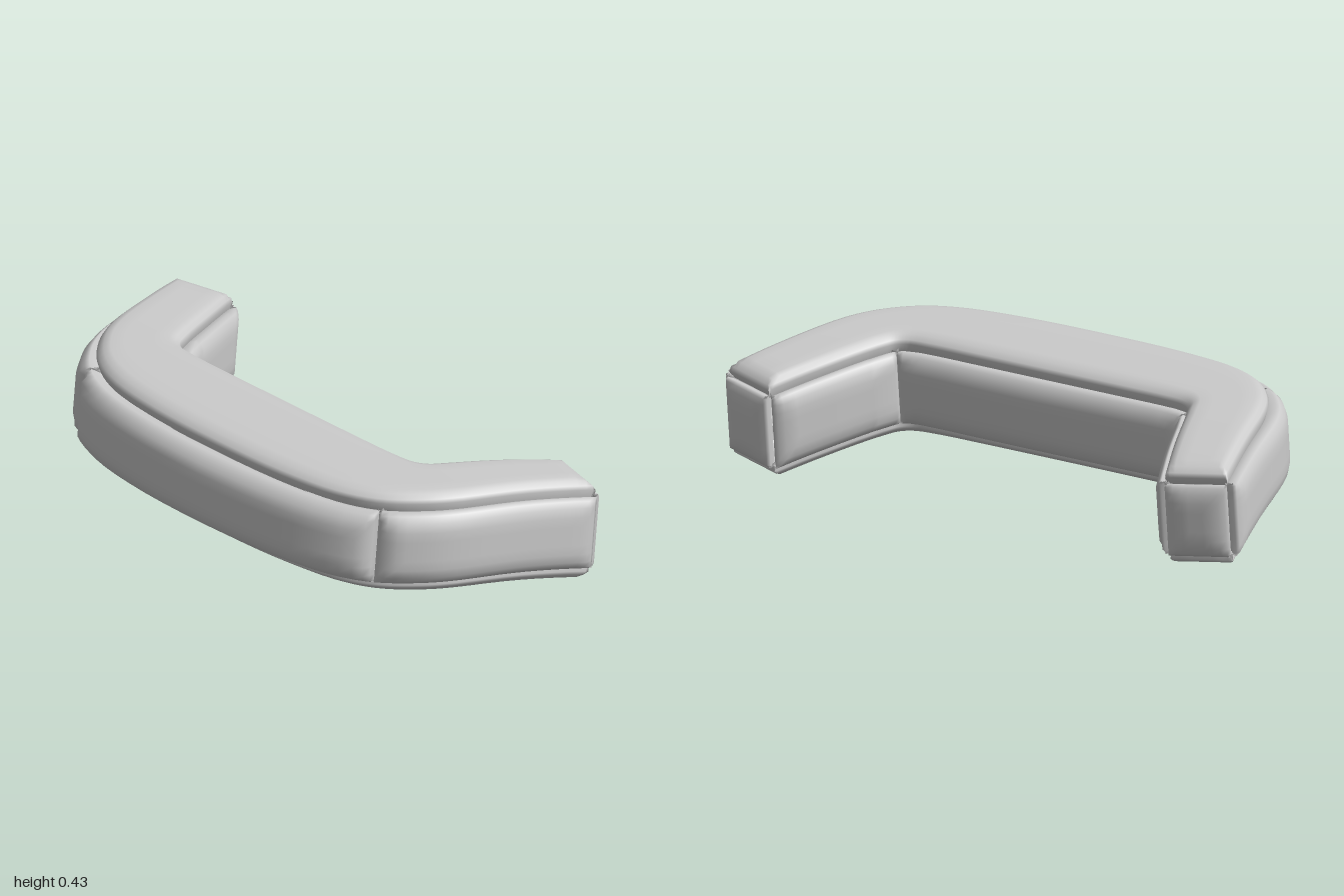
import * as THREE from 'three';

// Half plan outlines (x, z) from the centre to the end of one arm
const OUTER = [[0, .38], [.3, .37], [.52, .335], [.65, .275], [.75, .175], [.81, .075], [.888, -.15], [.965, -.375]];
const INNER = [[0, .012], [.28, .012], [.44, .012], [.53, .005], [.565, -.015], [.59, -.06], [.675, -.25], [.765, -.437]];
const END = 7;       // last station of an arm, -END is the other arm
const HALF = .125;   // half height of the core

function planCurve(half) {
  const left = half.slice(1).reverse().map(([x, z]) => [-x, z]);
  return new THREE.CatmullRomCurve3([...left, ...half].map(([x, z]) => new THREE.Vector3(x, 0, z)));
}
const outer = planCurve(OUTER), inner = planCurve(INNER);

// Point of the core: station i, t across (0 inside, 1 outside), height y; tilted and arched
function core(i, t, y) {
  const s = (i + END) / (2 * END);
  const p = inner.getPoint(s).lerp(outer.getPoint(s), t);
  p.y = .242 + .1 * p.z - .17 * p.z * p.z + y;
  p.z -= .1 * y;
  return p;
}

// Rounded pad edge: distance from the border, share of the full height
const EDGE = [[.012, -1], [0, .35], [.01, .6], [.03, .87], [.06, 1]];

function nodes(speed0, speed1, n) {
  const start = EDGE.map(([d, h]) => [d / speed0, h]);
  const end = EDGE.map(([d, h]) => [1 - d / speed1, h]).reverse();
  const a = start[4][0], b = end[0][0], mid = [];
  for (let k = 1; k < n; k++) mid.push([a + (b - a) * k / n, 1]);
  return [...start, ...mid, ...end];
}

// Stuffed pad standing out from the surface f(u, v) by height(u)
function pad(name, f, height, nu, nv, material) {
  const e = .005;
  const speed = (a, b) => a.distanceTo(b) / e;
  const us = nodes(speed(f(0, .5), f(e, .5)), speed(f(1, .5), f(1 - e, .5)), nu);
  const vs = nodes(speed(f(.5, 0), f(.5, e)), speed(f(.5, 1), f(.5, 1 - e)), nv);
  const pos = [], index = [], row = vs.length;
  us.forEach(([u, hu], i) => vs.forEach(([v, hv], j) => {
    const du = f(Math.min(u + e, 1), v).sub(f(Math.max(u - e, 0), v));
    const dv = f(u, Math.min(v + e, 1)).sub(f(u, Math.max(v - e, 0)));
    const h = Math.min(hu, hv);
    const p = f(u, v).addScaledVector(du.cross(dv).normalize(), h < 0 ? -.012 : h * height(u));
    pos.push(p.x, p.y, p.z);
    if (i && j) {
      const d = i * row + j, c = d - 1, b = d - row, a = b - 1;
      index.push(a, c, d, a, d, b);
    }
  }));
  const g = new THREE.BufferGeometry();
  g.setAttribute('position', new THREE.Float32BufferAttribute(pos, 3));
  g.setIndex(index);
  g.computeVertexNormals();
  const mesh = new THREE.Mesh(g, material);
  mesh.name = name;
  return mesh;
}

export function createModel() {
  const group = new THREE.Group();
  group.name = 'curvedCushion';
  const material = new THREE.MeshStandardMaterial({ color: 0xcccccc, side: THREE.DoubleSide });
  const add = (name, f, height, nu, nv) => group.add(pad(name, f, height, nu, nv, material));
  const mix = THREE.MathUtils.lerp;
  const wall = v => mix(-HALF, HALF, v);

  // Long top and bottom pads
  add('topPad', (u, v) => core(mix(-END, END, u), 1 - v, HALF), () => .05, 56, 4);
  add('bottomPad', (u, v) => core(mix(-END, END, u), v, -HALF), () => .05, 56, 4);

  // Outer and inner wall pads: right arm, middle, left arm
  const walls = (names, t, split, base, drop) => {
    [[-END, -split], [-split, split], [split, END]].forEach(([a, b], k) => {
      const [from, to] = t ? [a, b] : [b, a];
      add(names[k], (u, v) => core(mix(from, to, u), t, wall(v)),
        u => base - drop * Math.abs(mix(from, to, u)), 18, 4);
    });
  };
  walls(['rightOuterPad', 'frontPad', 'leftOuterPad'], 1, 3, .082, .006);
  walls(['rightInnerPad', 'backPad', 'leftInnerPad'], 0, 4, .062, .003);

  // Square pads closing the arm ends
  add('leftEndPad', (u, v) => core(END, 1 - u, wall(v)), () => .035, 4, 4);
  add('rightEndPad', (u, v) => core(-END, u, wall(v)), () => .035, 4, 4);
  return group;
}
